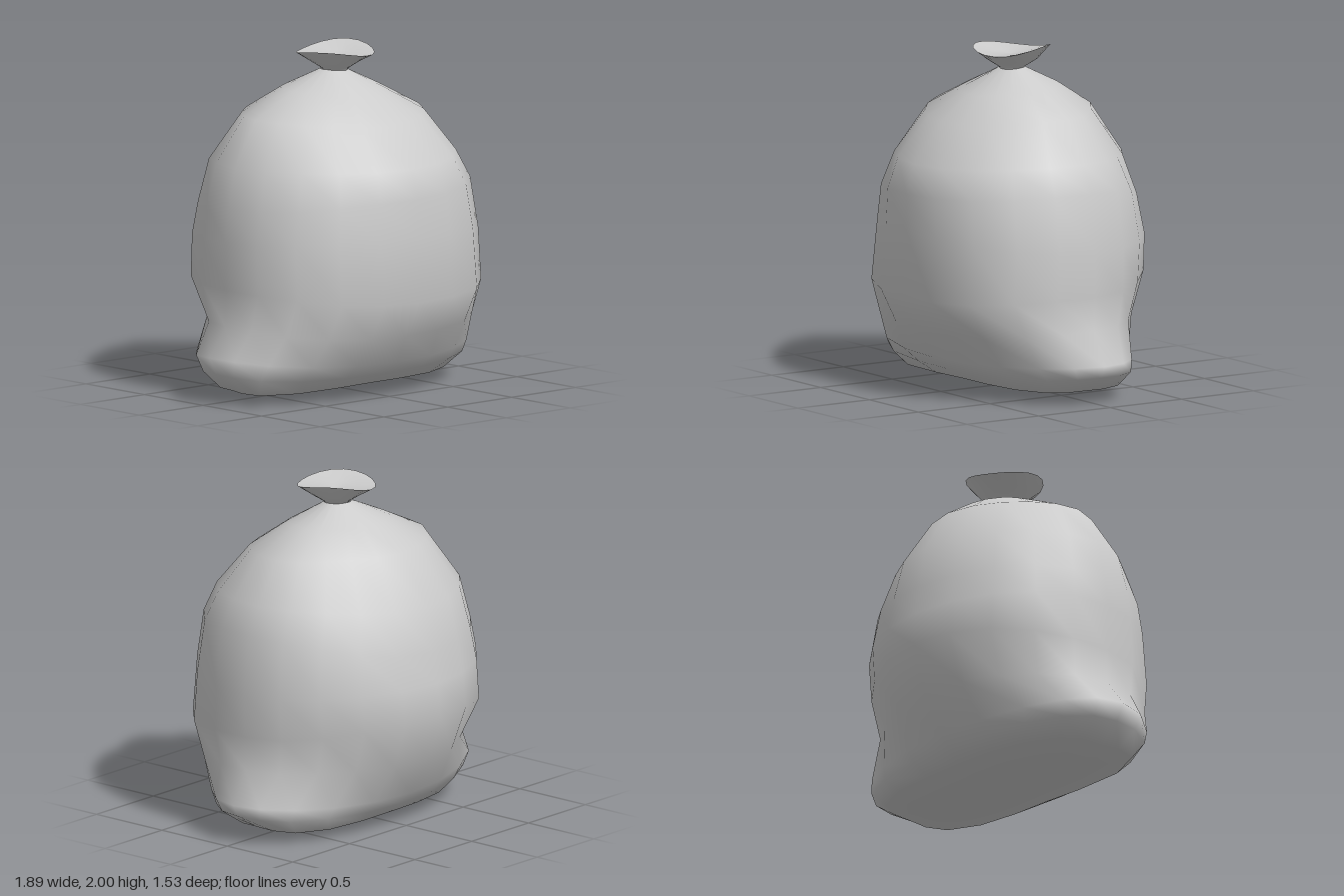
import * as THREE from 'three';

const SEGMENTS = 20;

// Lofts rows listed from the top down. Each row holds [reach, height] for the
// +x, -x, +z and -z sides, then how much the four corners between them swell
// (order: +x+z, -x+z, -x-z, +x-z).
function loft(rows) {
  const positions = [], index = [];
  rows.forEach(([right, left, front, back, corners = [0, 0, 0, 0]], i) => {
    for (let j = 0; j < SEGMENTS; j++) {
      const a = (j / SEGMENTS) * Math.PI * 2;
      const c = Math.cos(a), s = Math.sin(a);
      const side = c > 0 ? right : left;
      const face = s > 0 ? front : back;
      const swell = 1 + corners[Math.floor((j * 4) / SEGMENTS)] * Math.sin(2 * a) ** 2;
      positions.push(
        c * side[0] * swell,
        side[1] * c * c + face[1] * s * s,
        s * face[0] * swell
      );
      if (i < rows.length - 1) {
        const n = (j + 1) % SEGMENTS;
        const p = i * SEGMENTS + j, q = i * SEGMENTS + n;
        index.push(p, q, p + SEGMENTS, q, q + SEGMENTS, p + SEGMENTS);
      }
    }
  });
  const geometry = new THREE.BufferGeometry();
  geometry.setAttribute('position', new THREE.Float32BufferAttribute(positions, 3));
  geometry.setIndex(index);
  geometry.computeVertexNormals();
  return geometry;
}

export function createModel() {
  const group = new THREE.Group();
  group.name = 'tiedSack';
  const material = new THREE.MeshStandardMaterial({ color: 0xcccccc, side: THREE.DoubleSide });
  const add = (name, geometry) => {
    const mesh = new THREE.Mesh(geometry, material);
    mesh.name = name;
    group.add(mesh);
    return mesh;
  };

  // Sack body: gathered neck, uneven belly, pinched bottom corners, keel below
  add('sackBody', loft([
    [[0.09, 1.86], [0.06, 1.86], [0.08, 1.86], [0.06, 1.86]],
    [[0.31, 1.755], [0.3, 1.755], [0.31, 1.72], [0.27, 1.76], [0, -0.04, -0.02, -0.09]],
    [[0.57, 1.62], [0.59, 1.62], [0.5, 1.58], [0.47, 1.63], [0, -0.05, -0.05, -0.12]],
    [[0.73, 1.38], [0.75, 1.36], [0.69, 1.35], [0.66, 1.34], [0.02, -0.04, -0.01, -0.08]],
    [[0.81, 1.22], [0.8, 1.12], [0.74, 1.18], [0.71, 1.08], [0.04, 0, 0.01, -0.04]],
    [[0.85, 0.88], [0.825, 0.93], [0.74, 0.96], [0.74, 0.9], [0.07, 0.02, 0.02, -0.02]],
    [[0.845, 0.62], [0.82, 0.65], [0.77, 0.58], [0.765, 0.7], [0.08, 0.04, 0.02, -0.05]],
    [[0.84, 0.42], [0.825, 0.44], [0.64, 0.37], [0.68, 0.43], [0.09, 0.1, -0.07, -0.07]],
    [[0.945, 0.23], [0.95, 0.27], [0.57, 0.21], [0.53, 0.2], [-0.01, 0.05, 0, 0]],
    [[0.91, 0.16], [0.9, 0.17], [0.46, 0.13], [0.47, 0.13], [0.05, 0.15, 0.03, 0.07]],
    [[0.74, 0.06], [0.77, 0.06], [0.34, 0.06], [0.38, 0.06], [0.14, 0.28, 0.08, 0.18]],
    [[0.45, 0.025], [0.45, 0.025], [0.17, 0.03], [0.19, 0.03], [0.1, 0.2, 0.05, 0.1]],
    [[0, 0], [0, 0], [0, 0], [0, 0]],
  ]));

  // Flared, saddle-shaped collar above the tie, with a shallow dished inside
  const rim = [[0.225, 2], [0.225, 1.985], [0.228, 1.95], [0.228, 1.95]];
  const ring = (r, y) => Array.from({ length: 4 }, () => [r, y]);
  const collar = add('collarOutside', loft([
    rim, ring(0.15, 1.91), ring(0.075, 1.862), ring(0.07, 1.85),
  ]));
  const dish = add('collarInside', loft([ring(0, 1.935), ring(0.11, 1.945), rim]));
  for (const mesh of [collar, dish]) {
    mesh.position.set(0.018, 0, 0.018);
    mesh.rotation.y = Math.PI / 6;
  }

  return group;
}
